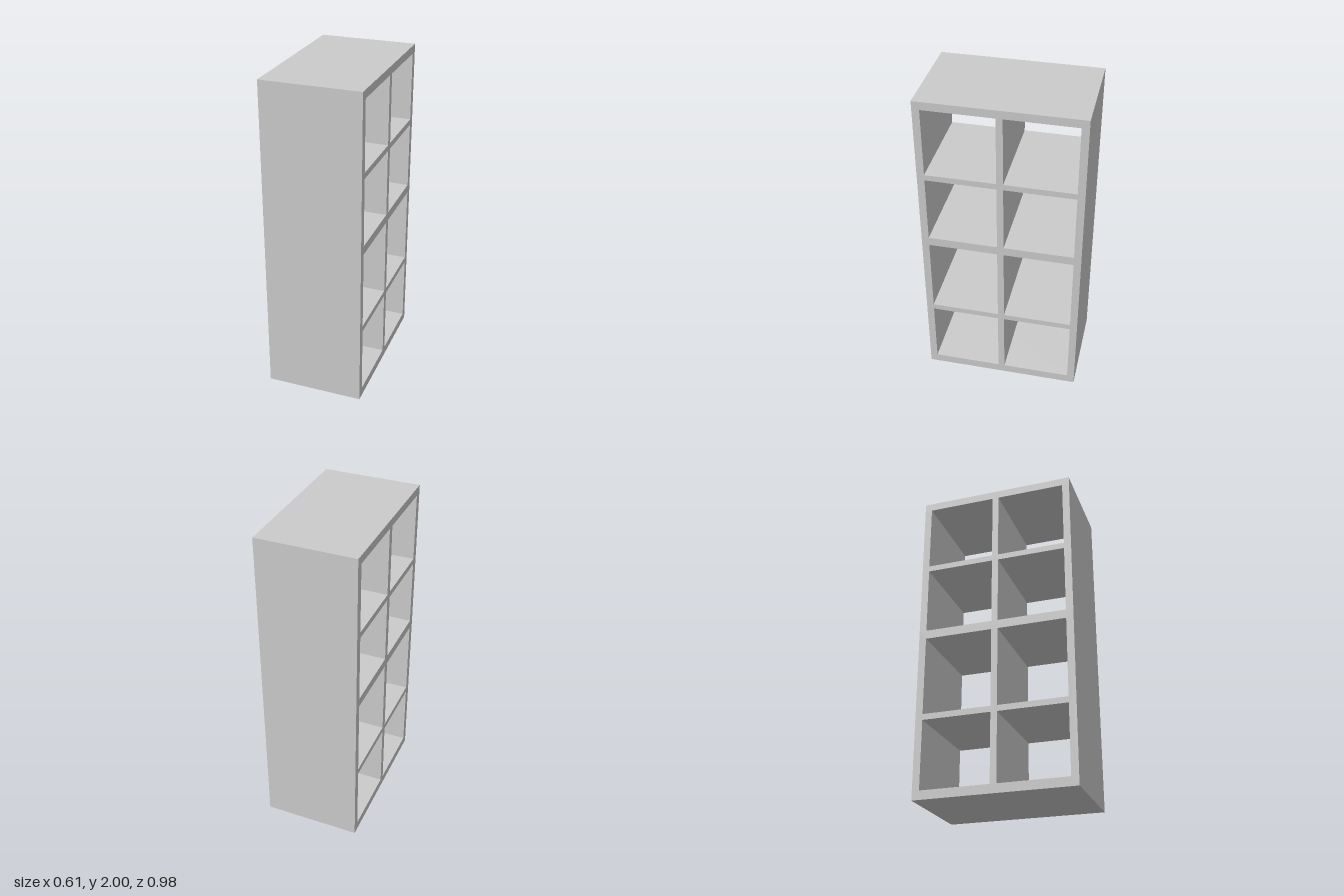
import * as THREE from 'three';

export function createModel() {
  const group = new THREE.Group();
  const material = new THREE.MeshStandardMaterial({ color: 0xcccccc });
  const depth = 0.605, halfWidth = 0.49, wall = 0.045, halfDivider = 0.02;

  // Board spanning the full x depth, given its y and z limits
  function board(name, y0, y1, z0, z1) {
    const mesh = new THREE.Mesh(new THREE.BoxGeometry(depth, y1 - y0, z1 - z0), material);
    mesh.name = name;
    mesh.position.set(0, (y0 + y1) / 2, (z0 + z1) / 2);
    return mesh;
  }

  // Frame extruded along x, with a rectangular hole open at both ends
  function frame(name, y0, y1, holeBottom, holeTop) {
    const inner = halfWidth - wall;
    const shape = new THREE.Shape([
      new THREE.Vector2(-halfWidth, y0), new THREE.Vector2(halfWidth, y0),
      new THREE.Vector2(halfWidth, y1), new THREE.Vector2(-halfWidth, y1),
    ]);
    shape.holes.push(new THREE.Path([
      new THREE.Vector2(-inner, holeBottom), new THREE.Vector2(-inner, holeTop),
      new THREE.Vector2(inner, holeTop), new THREE.Vector2(inner, holeBottom),
    ]));
    const geometry = new THREE.ExtrudeGeometry(shape, { depth, bevelEnabled: false });
    geometry.translate(0, 0, -depth / 2).rotateY(Math.PI / 2);
    const mesh = new THREE.Mesh(geometry, material);
    mesh.name = name;
    return mesh;
  }

  // Divider and a pair of shelves inside one unit
  function fittings(unit, bottom, top, shelfY) {
    const inner = halfWidth - wall;
    unit.add(board('divider', bottom, top, -halfDivider, halfDivider));
    unit.add(board('frontShelf', shelfY, shelfY + 0.037, halfDivider, inner));
    unit.add(board('backShelf', shelfY, shelfY + 0.037, -inner, -halfDivider));
  }

  // Lower unit: closed frame with floor and top
  const lower = new THREE.Group();
  lower.name = 'lowerUnit';
  lower.add(frame('lowerFrame', 0, 1.065, 0.055, 1.01));
  fittings(lower, 0.055, 1.01, 0.48);

  // Upper unit: side walls and a top, standing on the lower unit
  const upper = new THREE.Group();
  upper.name = 'upperUnit';
  upper.add(board('upperTop', 1.95, 2, -halfWidth, halfWidth));
  upper.add(board('frontWall', 1.065, 1.95, halfWidth - wall, halfWidth));
  upper.add(board('backWall', 1.065, 1.95, -halfWidth, wall - halfWidth));
  fittings(upper, 1.065, 1.95, 1.487);

  group.add(lower, upper);
  return group;
}
